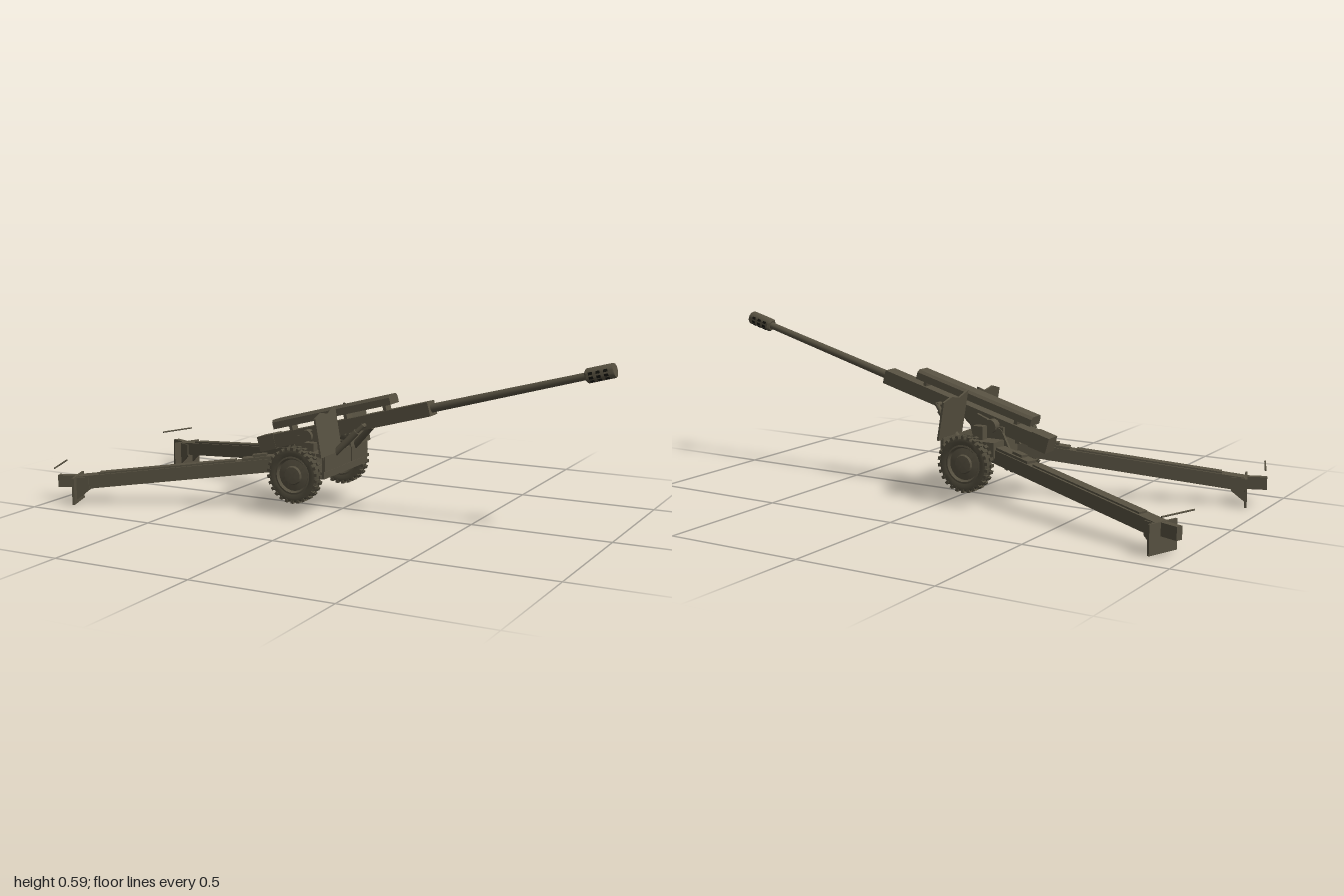
import * as THREE from 'three';
import { toCreasedNormals } from 'three/addons/utils/BufferGeometryUtils.js';

const V = (x, y, z) => new THREE.Vector3(x, y, z);
const mat = (name, color) => Object.assign(new THREE.MeshStandardMaterial({ color }), { name });
const olive = mat('olive paint', 0x565040);
const tyreMat = mat('tyre rubber', 0x4e493a);
const dark = mat('dark openings', 0x15140f);

function add(parent, name, geo, x = 0, y = 0, z = 0, m = olive) {
  const mesh = new THREE.Mesh(geo, m);
  mesh.name = name;
  mesh.position.set(x, y, z);
  parent.add(mesh);
  return mesh;
}
const box = (p, name, w, h, d, x, y, z, m) => add(p, name, new THREE.BoxGeometry(w, h, d), x, y, z, m);

// round bar between two points
function bar(p, name, a, b, r1, r2 = r1, seg = 16) {
  const dir = b.clone().sub(a);
  const c = a.clone().add(b).multiplyScalar(0.5);
  const mesh = add(p, name, new THREE.CylinderGeometry(r2, r1, dir.length(), seg), c.x, c.y, c.z);
  mesh.quaternion.setFromUnitVectors(V(0, 1, 0), dir.normalize());
  return mesh;
}

// plate from an outline, extruded along z and centred
function plate(points, depth) {
  const shape = new THREE.Shape(points.map(([x, y]) => new THREE.Vector2(x, y)));
  return new THREE.ExtrudeGeometry(shape, { depth, bevelEnabled: false }).translate(0, 0, -depth / 2);
}

function group(parent, name, x = 0, y = 0, z = 0) {
  const g = new THREE.Group();
  g.name = name;
  g.position.set(x, y, z);
  parent.add(g);
  return g;
}

const lathe = (pts, seg = 36) => toCreasedNormals(
  new THREE.LatheGeometry(pts.map(([r, y]) => new THREE.Vector2(r, y)), seg), 0.6);

// wheel with its axis along y, outer face up
function addWheel(parent, side) {
  const g = group(parent, side > 0 ? 'leftWheel' : 'rightWheel', -0.096, 0.15, side * 0.18);
  g.rotation.x = side * Math.PI / 2;
  add(g, 'tyre', lathe([[0.066, -0.018], [0.08, -0.023], [0.09, -0.021], [0.095, -0.015],
    [0.095, 0.015], [0.09, 0.021], [0.08, 0.023], [0.066, 0.018]]), 0, 0, 0, tyreMat);
  add(g, 'rim', lathe([[0, -0.012], [0.05, -0.012], [0.062, -0.02], [0.068, -0.019], [0.068, 0.019],
    [0.062, 0.02], [0.056, 0.01], [0.034, 0.013], [0.03, 0.02], [0.012, 0.021], [0, 0.021]]));
  const lug = new THREE.BoxGeometry(0.012, 0.02, 0.011);
  const n = 26;
  for (let i = 0; i < n * 2; i++) {
    const a = i * Math.PI / n;
    const up = i % 2 ? 1 : -1;
    const m = add(g, 'treadLug', lug, Math.cos(a) * 0.094, up * 0.0125, -Math.sin(a) * 0.094, tyreMat);
    m.rotation.y = a;
  }
}

function addTrail(parent, side) {
  const start = V(-0.15, 0.17, 0.07 * side);
  const end = V(-0.905, 0.074, 0.353 * side);
  const len = start.distanceTo(end);
  const yaw = Math.atan2(end.x - start.x, end.z - start.z);

  // beam, local z runs rearward
  const g = group(parent, side > 0 ? 'leftTrail' : 'rightTrail', start.x, start.y, start.z);
  g.lookAt(end);
  box(g, 'trailBeam', 0.052, 0.048, len, 0, 0, len / 2);
  box(g, 'trailTopCover', 0.036, 0.008, len - 0.3, 0, 0.026, 0.22 + (len - 0.3) / 2);
  box(g, 'trailHingeCover', 0.042, 0.018, 0.17, 0, 0.024, 0.11);
  box(g, 'trailLatch', 0.026, 0.012, 0.05, 0, 0.036, 0.13);

  // upright parts at the rear end
  const r = group(parent, 'trailEnd', -0.912, 0, 0.356 * side);
  r.rotation.y = yaw;
  box(r, 'spade', 0.122, 0.1, 0.008, 0, 0.05, 0);
  box(r, 'towingBlock', 0.024, 0.044, 0.07, 0, 0.077, 0.036);
  for (const s of [-1, 1]) {
    const rib = add(r, 'spadeRib', plate([[-0.05, 0.05], [0, 0.01], [0, 0.097], [-0.05, 0.097]], 0.006), s * 0.028, 0, 0);
    rib.rotation.y = -Math.PI / 2;
  }
  bar(r, 'handspike', V(-0.071, 0.138, 0.063), V(0.071, 0.138, 0.063), 0.003, 0.003, 8);
}

// elevating parts, local x runs toward the muzzle
function addGun(parent) {
  const g = group(parent, 'gun', 0, 0.3, 0);
  g.rotation.z = 0.267;
  box(g, 'cradle', 0.705, 0.05, 0.06, 0.0075, 0, 0);
  box(g, 'breechRing', 0.07, 0.056, 0.062, -0.31, 0, 0);
  bar(g, 'barrel', V(0.34, 0, 0), V(0.94, 0, 0), 0.0155, 0.0125, 20);

  // recoil housing with chamfered edges, standing on short posts
  const housing = add(g, 'recoilHousing', plate([[-0.034, -0.017], [0.034, -0.017], [0.034, 0.008],
    [0.025, 0.017], [-0.025, 0.017], [-0.034, 0.008]], 0.488), -0.02, 0.06, 0);
  housing.rotation.y = Math.PI / 2;
  for (const x of [-0.2, 0.03, 0.19]) box(g, 'housingPost', 0.012, 0.03, 0.04, x, 0.034, 0);

  // muzzle brake with side ports
  const brake = add(g, 'muzzleBrake', lathe([[0, -0.05], [0.019, -0.05], [0.025, -0.044], [0.025, 0.046],
    [0.023, 0.05], [0, 0.05]], 24), 0.976, 0, 0);
  brake.rotation.z = -Math.PI / 2;
  for (const side of [-1, 1]) for (const tilt of [-0.85, -0.3, 0.3]) for (let i = 0; i < 3; i++) {
    const a = tilt;
    const port = box(g, 'brakePort', 0.014, 0.009, 0.003, 0.948 + i * 0.026,
      Math.sin(a) * 0.0245, Math.cos(a) * 0.0245 * side, dark);
    port.rotation.x = -a * side;
  }
}

export function createModel() {
  const root = new THREE.Group();
  root.name = 'fieldGun';
  addGun(root);

  // carriage body and axle
  box(root, 'saddle', 0.12, 0.055, 0.23, -0.11, 0.19, 0);
  box(root, 'saddleTop', 0.1, 0.06, 0.085, -0.115, 0.23, 0);
  box(root, 'axleBeam', 0.05, 0.03, 0.25, -0.07, 0.155, 0);
  bar(root, 'axle', V(-0.096, 0.15, -0.17), V(-0.096, 0.15, 0.17), 0.0135);

  // shield wings
  const shield = group(root, 'shield', 0.012, 0.22, 0);
  shield.rotation.z = 0.17;
  for (const s of [-1, 1]) {
    const outline = [[0.036, 0], [0.19, 0], [0.19, 0.138], [0.14, 0.152], [0.09, 0.142], [0.036, 0.162]];
    const wing = add(shield, 'shieldWing', plate(outline.map(([x, y]) => [x * s, y]), 0.007));
    wing.rotation.y = -Math.PI / 2;
  }
  box(root, 'lowerShield', 0.007, 0.07, 0.33, 0.008, 0.19, 0);
  for (const s of [-1, 1]) box(root, 'lowerShieldPanel', 0.006, 0.055, 0.122, 0.013, 0.195, s * 0.103);
  box(root, 'lowerShieldRail', 0.018, 0.025, 0.33, 0.004, 0.153, 0);
  for (const s of [-1, 1]) box(root, 'shieldBracket', 0.07, 0.012, 0.016, -0.03, 0.21, s * 0.1);

  for (const s of [-1, 1]) {
    addWheel(root, s);
    addTrail(root, s);
    // cheeks, trunnions and balancing cylinders
    add(root, 'cheek', plate([[-0.19, 0.19], [-0.05, 0.19], [-0.03, 0.27], [-0.06, 0.3], [-0.1, 0.285], [-0.16, 0.25]], 0.012), 0, 0, s * 0.04);
    bar(root, 'trunnion', V(-0.12, 0.262, s * 0.03), V(-0.12, 0.262, s * 0.06), 0.024);
    bar(root, 'balancer', V(0.0, 0.21, s * 0.076), V(0.085, 0.298, s * 0.058), 0.012);
    bar(root, 'balancerRod', V(0.08, 0.293, s * 0.059), V(0.107, 0.322, s * 0.05), 0.008);
    bar(root, 'balancerPin', V(0.102, 0.318, s * 0.025), V(0.102, 0.318, s * 0.056), 0.008);
  }

  // laying gear on the left of the breech
  box(root, 'sightBox', 0.04, 0.05, 0.03, -0.09, 0.24, -0.075);
  box(root, 'gearBox', 0.04, 0.035, 0.03, -0.09, 0.23, 0.075);
  return root;
}
